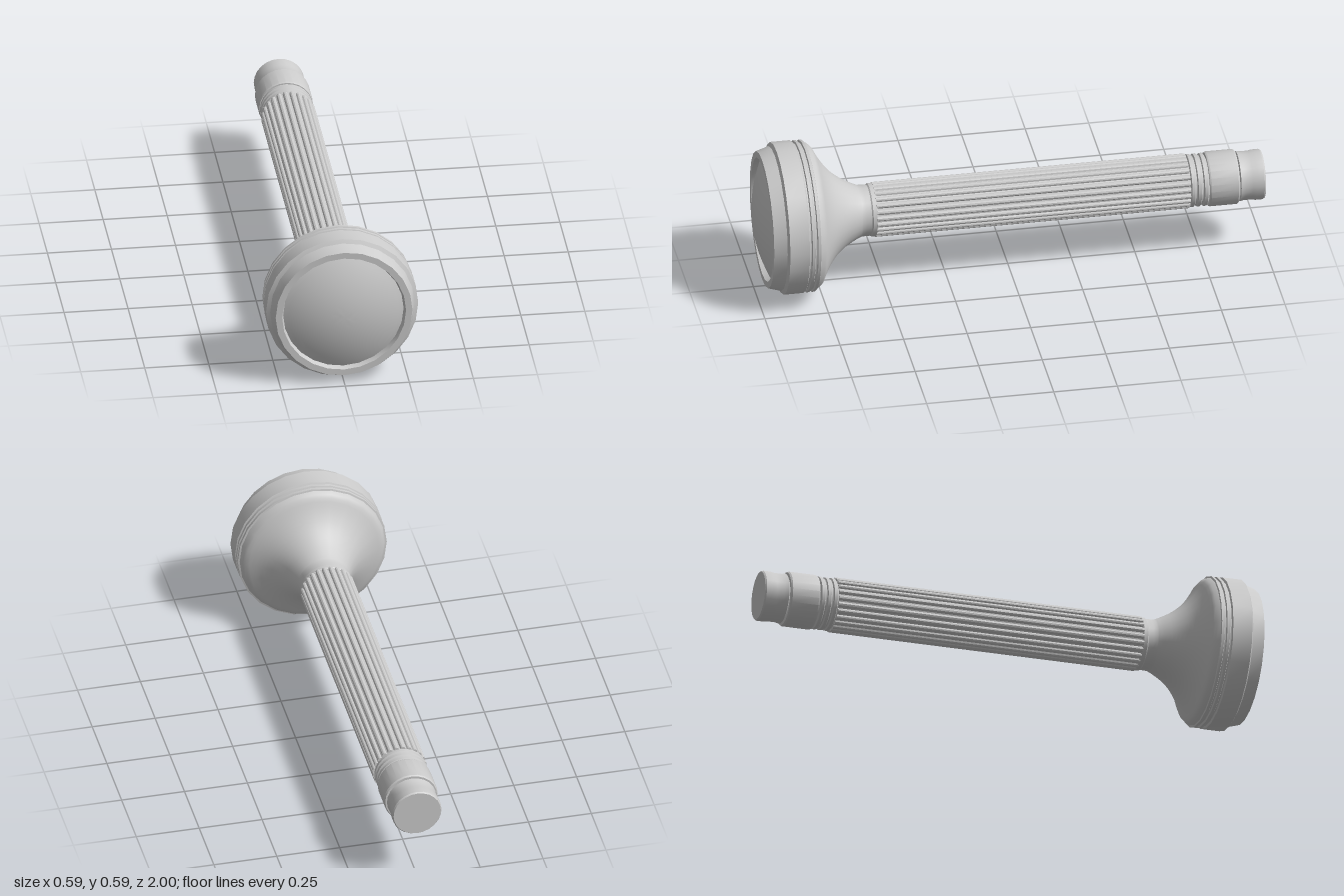
import * as THREE from 'three';
import { toCreasedNormals } from 'three/addons/utils/BufferGeometryUtils.js';

const AXIS_HEIGHT = 0.297;
const material = new THREE.MeshStandardMaterial({ color: 0xcccccc });

// Turned part about the z axis; profile is [radius, z] from back to front
function turned(name, profile) {
  const points = profile.map(([r, z]) => new THREE.Vector2(r, z));
  const geometry = new THREE.LatheGeometry(points, 24).rotateX(Math.PI / 2);
  const mesh = new THREE.Mesh(toCreasedNormals(geometry, 0.5), material);
  mesh.name = name;
  return mesh;
}

// Shaft with rounded ribs running along its length
function flutedShaft(z0, z1, ribs) {
  const shape = new THREE.Shape();
  const offsets = [[0.0, 0.098], [0.2, 0.098], [0.32, 0.104], [0.48, 0.107], [0.72, 0.107], [0.88, 0.104]];
  for (let i = 0; i < ribs; i++) {
    for (const [t, r] of offsets) {
      const a = ((i + t - 0.1) / ribs) * Math.PI * 2;
      const x = r * Math.cos(a), y = r * Math.sin(a);
      if (shape.curves.length === 0 && i === 0 && t === 0) shape.moveTo(x, y);
      else shape.lineTo(x, y);
    }
  }
  shape.closePath();
  const geometry = new THREE.ExtrudeGeometry(shape, { depth: z1 - z0, bevelEnabled: false });
  geometry.translate(0, 0, z0);
  const mesh = new THREE.Mesh(toCreasedNormals(geometry, 0.5), material);
  mesh.name = 'flutedShaft';
  return mesh;
}

export function createModel() {
  const model = new THREE.Group();
  model.name = 'flaredHandle';

  // Rear plug with a shallow waist
  model.add(turned('rearTip', [
    [0, -1], [0.094, -1], [0.098, -0.994], [0.098, -0.965], [0.095, -0.95],
    [0.095, -0.92], [0.098, -0.903], [0.088, -0.897], [0.088, -0.885],
  ]));

  // Smooth collar
  model.add(turned('rearCollar', [
    [0.085, -0.897], [0.103, -0.897], [0.107, -0.891], [0.107, -0.785], [0.104, -0.779], [0.085, -0.779],
  ]));

  // Thin rings between collar and shaft
  const rings = [[0.085, -0.782]];
  for (let i = 0; i < 3; i++) {
    const z = -0.775 + i * 0.025;
    rings.push([0.097, z], [0.103, z + 0.004], [0.103, z + 0.016], [0.097, z + 0.02]);
  }
  rings.push([0.097, -0.69]);
  model.add(turned('grooveRings', rings));

  model.add(flutedShaft(-0.703, 0.53, 24));

  // Neck sweeping out into the back of the head
  const sweep = new THREE.SplineCurve([
    [0.101, 0.585], [0.112, 0.61], [0.138, 0.655], [0.175, 0.698], [0.22, 0.732], [0.27, 0.759],
  ].map(([r, z]) => new THREE.Vector2(r, z)));
  model.add(turned('flaredNeck', [
    [0.085, 0.525], [0.1, 0.525], [0.104, 0.53], [0.104, 0.545], [0.1, 0.55], [0.1, 0.57],
    ...sweep.getPoints(16).map((p) => [p.x, p.y]),
    [0.281, 0.768], [0.289, 0.784],
  ]));

  // Head rim with two grooves, front bevel and recessed inner lip
  model.add(turned('headRim', [
    [0.289, 0.784], [0.296, 0.786], [0.296, 0.797], [0.289, 0.8], [0.289, 0.805],
    [0.296, 0.808], [0.296, 0.819], [0.289, 0.822], [0.289, 0.827], [0.297, 0.831],
    [0.297, 0.908], [0.282, 0.916], [0.267, 0.966], [0.242, 0.966], [0.235, 0.945],
  ]));

  // Domed front face
  const dome = [];
  for (let i = 0; i <= 12; i++) {
    const r = 0.235 * (1 - i / 12);
    dome.push([r, 1 - 0.99 * r * r]);
  }
  model.add(turned('domedFace', dome));

  model.children.forEach((part) => { part.position.y = AXIS_HEIGHT; });
  return model;
}
